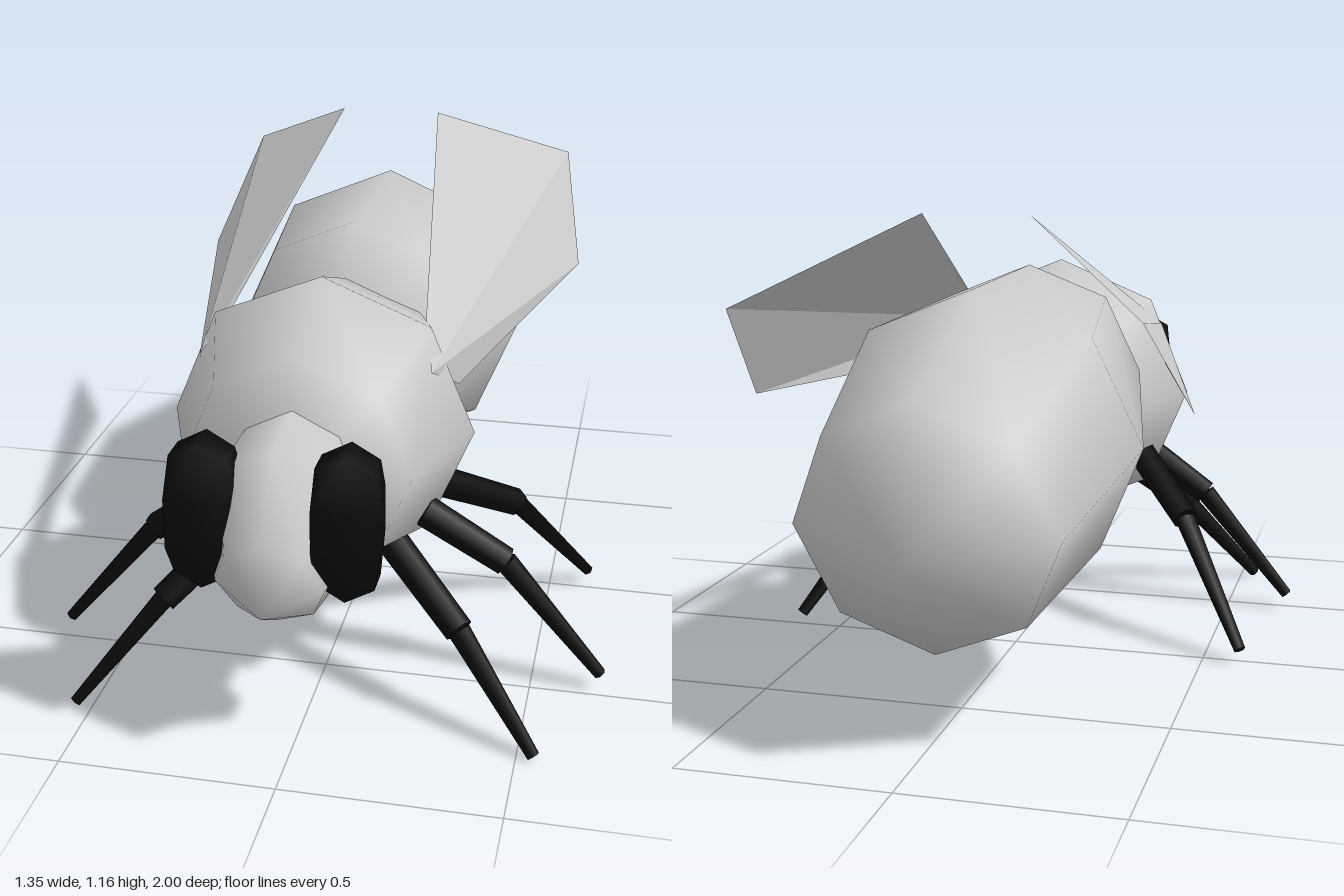
import * as THREE from 'three';
import { mergeVertices } from 'three/addons/utils/BufferGeometryUtils.js';

const grey = new THREE.MeshStandardMaterial({ color: 0xcccccc });
const black = new THREE.MeshStandardMaterial({ color: 0x0a0a0a });
const wingGrey = new THREE.MeshStandardMaterial({ color: 0xcccccc, side: THREE.DoubleSide });
const SIDES = 8;
const MID = -0.02; // the body sits slightly off the centre of the legs

// Smooth closed body from octagonal rings [z, rx, ry], listed front to back
function loft(rings, phase = 0) {
  const pos = [], index = [];
  for (const [z, rx, ry] of rings) {
    for (let i = 0; i < SIDES; i++) {
      const a = ((i + phase) / SIDES) * Math.PI * 2;
      pos.push(Math.sin(a) * rx, Math.cos(a) * ry, z);
    }
  }
  for (let r = 0; r < rings.length - 1; r++) {
    for (let i = 0; i < SIDES; i++) {
      const p0 = r * SIDES + i, p1 = r * SIDES + (i + 1) % SIDES;
      const q0 = p0 + SIDES, q1 = p1 + SIDES;
      if (rings[r][1] > 0) index.push(p0, p1, q0);
      if (rings[r + 1][1] > 0) index.push(p1, q1, q0);
    }
  }
  let g = new THREE.BufferGeometry();
  g.setAttribute('position', new THREE.Float32BufferAttribute(pos, 3));
  g.setIndex(index);
  g = mergeVertices(g, 1e-4);
  g.computeVertexNormals();
  return g;
}

// Tapered limb segment between two points
function limb(name, a, b, ra, rb) {
  const dir = b.clone().sub(a);
  const mesh = new THREE.Mesh(new THREE.CylinderGeometry(rb, ra, dir.length(), 6), black);
  mesh.name = name;
  mesh.position.copy(a).add(b).multiplyScalar(0.5);
  mesh.quaternion.setFromUnitVectors(new THREE.Vector3(0, 1, 0), dir.normalize());
  return mesh;
}

// Flat wing, fanned out from its root point
function wingGeometry(s) {
  const pts = [
    [0.27, 0.80, 0.50], [0.23, 0.87, 0.34], [0.128, 1.16, -0.43],
    [0.455, 0.973, -0.79], [0.52, 0.735, -0.50], [0.31, 0.71, 0.34],
  ];
  const pos = [];
  for (let i = 1; i < pts.length - 1; i++) {
    const tri = s > 0 ? [0, i + 1, i] : [0, i, i + 1];
    for (const k of tri) pos.push(s * pts[k][0] + MID, pts[k][1], pts[k][2]);
  }
  const g = new THREE.BufferGeometry();
  g.setAttribute('position', new THREE.Float32BufferAttribute(pos, 3));
  g.computeVertexNormals();
  return g;
}

export function createModel() {
  const model = new THREE.Group();
  model.name = 'insect';
  const add = (name, geometry, material, x, y, z, tilt = 0) => {
    const mesh = new THREE.Mesh(geometry, material);
    mesh.name = name;
    mesh.position.set(x, y, z);
    mesh.rotation.x = tilt;
    model.add(mesh);
    return mesh;
  };

  // Three body sections
  add('thorax', loft([
    [0.34, 0, 0], [0.265, 0.26, 0.26], [0, 0.36, 0.357], [-0.265, 0.26, 0.26], [-0.34, 0, 0],
  ]), grey, MID, 0.623, 0.415);
  add('abdomen', loft([
    [0.66, 0, 0], [0.485, 0.28, 0.28], [0, 0.38, 0.38], [-0.485, 0.30, 0.30], [-0.66, 0, 0],
  ]), grey, MID, 0.621, -0.352, -0.217);
  add('head', loft([
    [0.265, 0, 0], [0.18, 0.12, 0.134], [0, 0.18, 0.23], [-0.2, 0.13, 0.16], [-0.28, 0, 0],
  ]), grey, MID, 0.55, 0.77, 0.464);

  // Leg joints: hip, knee, foot
  const legs = {
    frontLeg: [[0.17, 0.40, 0.53], [0.35, 0.245, 0.67], [0.54, 0.012, 0.785]],
    middleLeg: [[0.25, 0.44, 0.475], [0.43, 0.325, 0.475], [0.665, 0.045, 0.475]],
    rearLeg: [[0.25, 0.46, 0.35], [0.42, 0.325, 0.17], [0.597, 0.04, -0.025]],
  };

  for (const s of [1, -1]) {
    const side = s > 0 ? 'left' : 'right';

    // Compound eye
    const eye = add(side + 'Eye', loft([
      [0.08, 0, 0], [0.063, 0.09, 0.148], [0, 0.112, 0.182], [-0.063, 0.09, 0.148], [-0.08, 0, 0],
    ], 0.5), black, s * 0.157 + MID, 0.603, 0.868);
    eye.rotation.y = Math.PI / 2;

    // Wing
    add(side + 'Wing', wingGeometry(s), wingGrey, 0, 0, 0);

    // Thick upper and thin lower leg
    for (const [name, joints] of Object.entries(legs)) {
      const [hip, knee, foot] = joints.map(([x, y, z]) => new THREE.Vector3(s * x, y, z));
      hip.x -= 0.015;
      const leg = new THREE.Group();
      leg.name = side + name[0].toUpperCase() + name.slice(1);
      leg.add(limb('upperLeg', hip, knee, 0.038, 0.034));
      leg.add(limb('lowerLeg', knee, foot, 0.027, 0.015));
      model.add(leg);
    }
  }
  return model;
}
